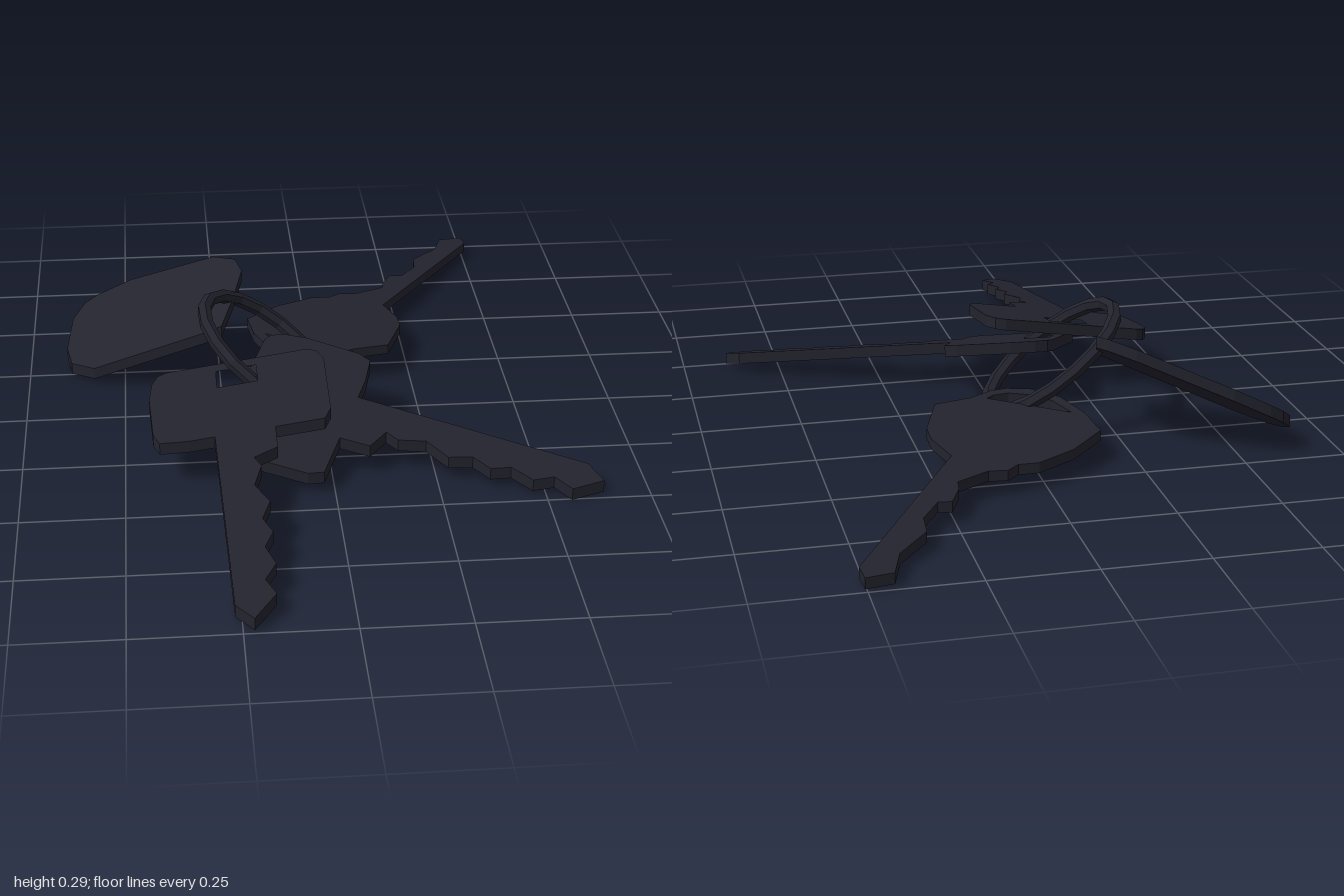
import * as THREE from 'three';

const darkMetal = new THREE.MeshStandardMaterial({ color: 0x23232e, flatShading: true });
darkMetal.name = 'dark metal';

// Flat plate cut from an [x, z] outline, laid on the sloping plane y = y0 + ax * x + az * z
function plate(name, outline, holes, [y0, ax, az], thickness = 0.03) {
  const toPoints = (list) => list.map(([x, z]) => new THREE.Vector2(x, -z));
  const shape = new THREE.Shape(toPoints(outline));
  for (const h of holes) shape.holes.push(new THREE.Path(toPoints(h)));
  const geo = new THREE.ExtrudeGeometry(shape, { depth: thickness, bevelEnabled: false });
  geo.translate(0, 0, -thickness / 2).rotateX(-Math.PI / 2);
  const p = geo.attributes.position;
  for (let i = 0; i < p.count; i++) {
    p.setY(i, p.getY(i) + y0 + ax * p.getX(i) + az * p.getZ(i));
  }
  geo.computeVertexNormals();
  const mesh = new THREE.Mesh(geo, darkMetal);
  mesh.name = name;
  return mesh;
}

// Square-headed key in its own frame: [v across, u along], u = 0 at the back of the head
const keyOutline = [
  [-0.19, 0.01], [-0.17, 0], [0.18, 0], [0.205, 0.012], [0.222, 0.05], [0.222, 0.25], [0.205, 0.285],
  [0.087, 0.285], [0.087, 0.362], [0.03, 0.385], [0.045, 0.42], [0.025, 0.485], [0.057, 0.55],
  [0.036, 0.605], [0.057, 0.655], [0.036, 0.7], [0.057, 0.76], [0.03, 0.805], [0.052, 0.855],
  [0, 0.92], [-0.04, 0.87], [-0.058, 0.285], [-0.12, 0.285], [-0.19, 0.275], [-0.205, 0.24], [-0.212, 0.1], [-0.205, 0.04],
];
const keyHole = [[-0.045, 0.03], [0.055, 0.03], [0.055, 0.095], [-0.045, 0.095]];

// Places key points with the head's back at (x, z), blade along (dx, dz); side = -1 flips the teeth
const place = (points, x, z, dx, dz, side) =>
  points.map(([v, u]) => [x + u * dx + side * v * dz, z + u * dz - side * v * dx]);

export function createModel() {
  const group = new THREE.Group();
  group.name = 'keyRing';

  // Split ring, leaning to one side
  const ring = new THREE.Mesh(new THREE.TorusGeometry(0.2, 0.018, 6, 18), darkMetal);
  ring.name = 'ring';
  ring.position.set(-0.132, 0.15, -0.05);
  ring.quaternion.setFromUnitVectors(new THREE.Vector3(0, 0, 1), new THREE.Vector3(0.6, 0.79, 0.08).normalize());
  group.add(ring);

  // Two matching keys, the second turned over
  const keys = [
    ['frontKey', [-0.225, 0.075, 0, 1, 1], [0.2195, 0.15, -0.163]],
    ['sideKey', [-0.207, 0.118, 0.918, 0.396, -1], [0.165, 0, -0.29]],
  ];
  for (const [name, pose, plane] of keys) {
    group.add(plate(name, place(keyOutline, ...pose), [place(keyHole, ...pose)], plane));
  }

  // Broad-headed key pointing back, with a slot for the ring
  const backOutline = [
    [0.505, -0.995], [0.44, -0.985], [0.415, -0.905], [0.34, -0.82], [0.335, -0.757], [0.29, -0.69],
    [0.257, -0.693], [0.23, -0.635], [0.225, -0.6], [0.145, -0.56], [0.1, -0.565], [0.07, -0.54],
    [0.02, -0.54], [-0.077, -0.487], [-0.167, -0.397], [-0.155, -0.29], [-0.12, -0.19], [-0.06, -0.13],
    [0, -0.115], [0.04, -0.122], [0.1, -0.155], [0.193, -0.175], [0.24, -0.31], [0.24, -0.37],
    [0.212, -0.465], [0.51, -0.947],
  ];
  const slot = [[-0.125, -0.285], [0.06, -0.165], [0.04, -0.15], [0, -0.145], [-0.05, -0.165], [-0.095, -0.21]];
  group.add(plate('backKey', backOutline, [slot], [0.094, 0, 0.073], 0.026));

  // Oval tag, steeply tilted
  const tagOutline = [
    [-0.605, -0.46], [-0.57, -0.467], [-0.48, -0.46], [-0.256, -0.386], [-0.2, -0.335], [-0.185, -0.28],
    [-0.21, -0.2], [-0.246, -0.116], [-0.29, -0.122], [-0.58, -0.195], [-0.64, -0.255], [-0.653, -0.32], [-0.638, -0.42],
  ];
  group.add(plate('tag', tagOutline, [], [0.272, 0.516, -0.3]));

  return group;
}
